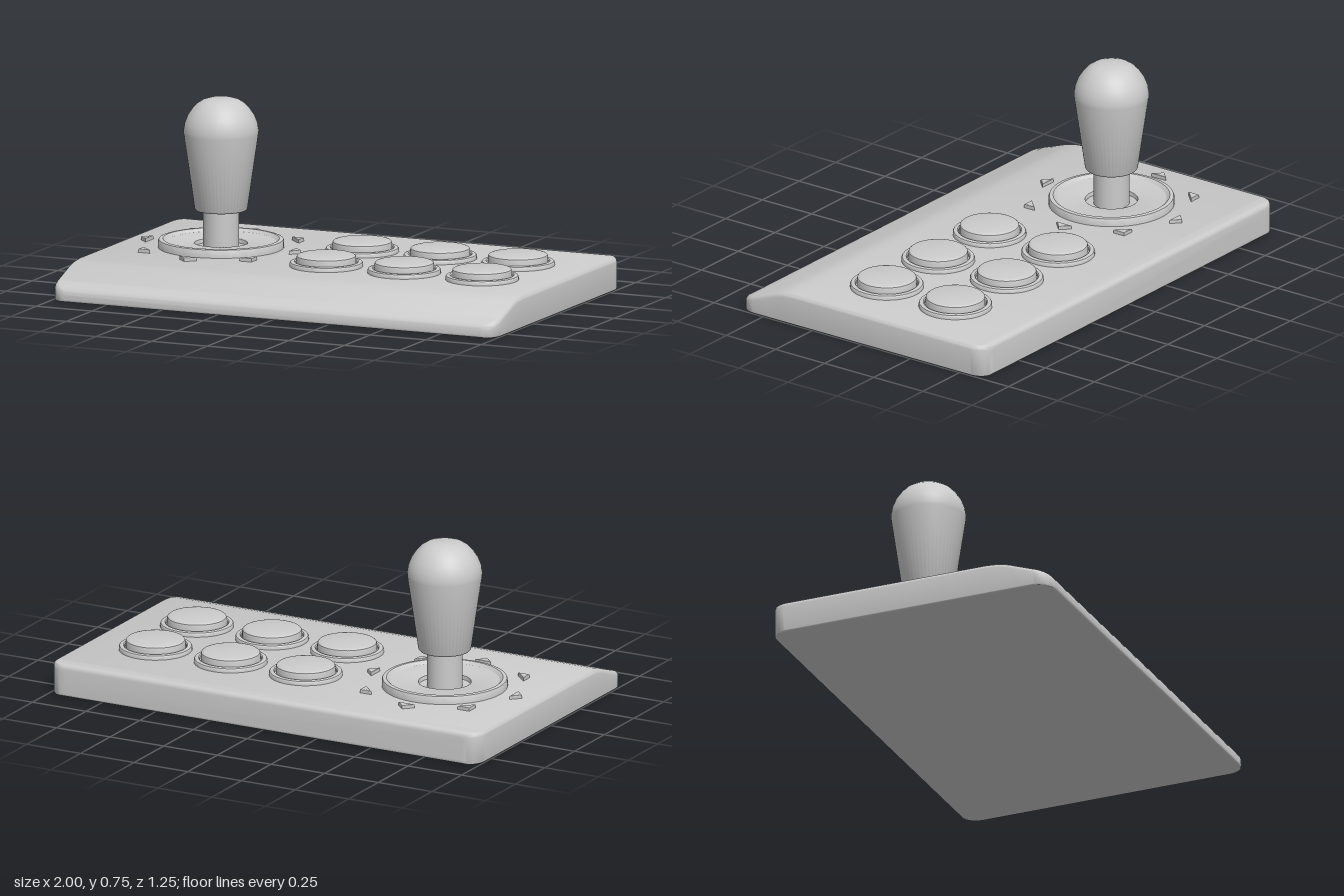
import * as THREE from 'three';
import { toCreasedNormals } from 'three/addons/utils/BufferGeometryUtils.js';

const DECK = 0.135; // height of the flat top of the case
const material = new THREE.MeshStandardMaterial({ color: 0xcccccc });

function add(parent, name, geometry, x = 0, y = 0, z = 0) {
  const mesh = new THREE.Mesh(geometry, material);
  mesh.name = name;
  mesh.position.set(x, y, z);
  parent.add(mesh);
  return mesh;
}

// Turned part with sharp edges kept where the profile bends strongly
function turned(profile, segments = 48) {
  const points = profile.map(([r, y]) => new THREE.Vector2(r, y));
  return toCreasedNormals(new THREE.LatheGeometry(points, segments), 0.55);
}

// Rounded case lofted from back to front, its front edge sloping down
function caseGeometry() {
  const half = 0.623, corner = 0.07, fillet = 0.02, arcSteps = 8;
  const slope = [[0.34, 0.135], [0.37, 0.133], [0.4, 0.13], [0.44, 0.12], [0.5, 0.098],
    [0.56, 0.077], [0.59, 0.066], [0.605, 0.058], [0.616, 0.049], [0.623, 0.036]];
  const topAt = (z) => {
    for (let i = 1; i < slope.length; i++) {
      const [z0, y0] = slope[i - 1], [z1, y1] = slope[i];
      if (z <= z1) return z <= z0 ? y0 : y0 + (y1 - y0) * (z - z0) / (z1 - z0);
    }
    return slope[slope.length - 1][1];
  };
  // How far an edge of radius r is set back at distance d from the end
  const setback = (d, r) => (d >= r ? 0 : r - Math.sqrt(Math.max(0, r * r - (r - d) ** 2)));

  const stations = [];
  for (let i = 0; i <= arcSteps; i++) {
    const d = corner * (1 - Math.cos((i / arcSteps) * Math.PI / 2));
    stations.push(-half + d, half - d);
  }
  stations.push(0, ...slope.slice(0, 5).map((p) => p[0]), 0.605, 0.595);
  stations.sort((a, b) => a - b);

  const cornerSteps = 4, count = 4 * (cornerSteps + 1);
  const positions = [], index = [];
  for (const z of stations) {
    const d = half - Math.abs(z);
    const w = 1 - setback(d, corner);
    const bottom = setback(d, 0.01);
    const top = topAt(z) - (z < 0 ? setback(d, fillet) : 0);
    const rt = Math.min(fillet, (top - bottom) * 0.5), rb = 0.008;
    const corners = [[w - rb, bottom + rb, rb], [w - rt, top - rt, rt],
      [-w + rt, top - rt, rt], [-w + rb, bottom + rb, rb]];
    corners.forEach(([cx, cy, r], k) => {
      for (let s = 0; s <= cornerSteps; s++) {
        const a = (k - 1 + s / cornerSteps) * Math.PI / 2;
        positions.push(cx + r * Math.cos(a), cy + r * Math.sin(a), z);
      }
    });
  }
  const last = (stations.length - 1) * count;
  for (let i = 0; i < stations.length - 1; i++) {
    for (let j = 0; j < count; j++) {
      const k = (j + 1) % count;
      const a = i * count + j, b = i * count + k;
      index.push(a, b, b + count, a, b + count, a + count);
    }
  }
  for (let j = 1; j < count - 1; j++) {
    index.push(0, j + 1, j, last, last + j, last + j + 1);
  }
  const geometry = new THREE.BufferGeometry();
  geometry.setAttribute('position', new THREE.Float32BufferAttribute(positions, 3));
  geometry.setIndex(index);
  return toCreasedNormals(geometry, 0.6);
}

// Small raised triangle pointing along +x
function arrowGeometry() {
  const b = 0.003;
  const shape = new THREE.Shape();
  shape.moveTo(0.356, 0);
  shape.lineTo(0.324, 0.034);
  shape.lineTo(0.324, -0.034);
  const geometry = new THREE.ExtrudeGeometry(shape, {
    depth: 0.017, bevelEnabled: true, bevelThickness: b, bevelSize: b, bevelSegments: 2,
  });
  return geometry.rotateX(-Math.PI / 2).translate(0, -0.005, 0);
}

function createJoystick() {
  const joystick = new THREE.Group();
  joystick.name = 'joystick';
  // Dished collar with a raised rim and a hole for the shaft
  add(joystick, 'collar', turned([
    [0.257, 0.13], [0.257, 0.162], [0.254, 0.168], [0.248, 0.17], [0.238, 0.17],
    [0.234, 0.167], [0.225, 0.158], [0.21, 0.155], [0.115, 0.155], [0.108, 0.152], [0.105, 0.136],
  ], 64));
  add(joystick, 'shaft', new THREE.CylinderGeometry(0.073, 0.073, 0.18, 40), 0, 0.21, 0);
  // Bat-shaped grip
  add(joystick, 'grip', turned([
    [0, 0.289], [0.103, 0.289], [0.108, 0.295], [0.153, 0.605], [0.154, 0.62], [0.149, 0.65],
    [0.137, 0.68], [0.118, 0.708], [0.098, 0.729], [0.075, 0.744], [0.048, 0.752], [0, 0.753],
  ]));
  // Eight direction arrows around the collar
  const arrow = arrowGeometry();
  for (let i = 0; i < 8; i++) {
    add(joystick, 'directionArrow', arrow, 0, DECK, 0).rotation.y = i * Math.PI / 4;
  }
  return joystick;
}

export function createModel() {
  const model = new THREE.Group();
  model.name = 'arcadeController';
  add(model, 'case', caseGeometry());

  const joystick = createJoystick();
  joystick.position.set(-0.565, 0, -0.105);
  model.add(joystick);

  // Two rows of three buttons, each a bezel with a domed-edge plunger
  const bezel = turned([[0.15, -0.005], [0.15, 0.012], [0.147, 0.017], [0.141, 0.019],
    [0.131, 0.019], [0.127, 0.015], [0.126, 0]]);
  const plunger = turned([[0.122, 0], [0.122, 0.035], [0.12, 0.042], [0.115, 0.046],
    [0.107, 0.048], [0, 0.049]]);
  const well = new THREE.CircleGeometry(0.13, 48).rotateX(-Math.PI / 2);
  for (const z of [-0.255, 0.094]) {
    for (const x of [0, 0.35, 0.7]) {
      const button = new THREE.Group();
      button.name = 'button';
      button.position.set(x, DECK, z);
      add(button, 'buttonBezel', bezel);
      add(button, 'buttonPlunger', plunger);
      add(button, 'buttonWell', well, 0, 0.006, 0);
      model.add(button);
    }
  }
  return model;
}
